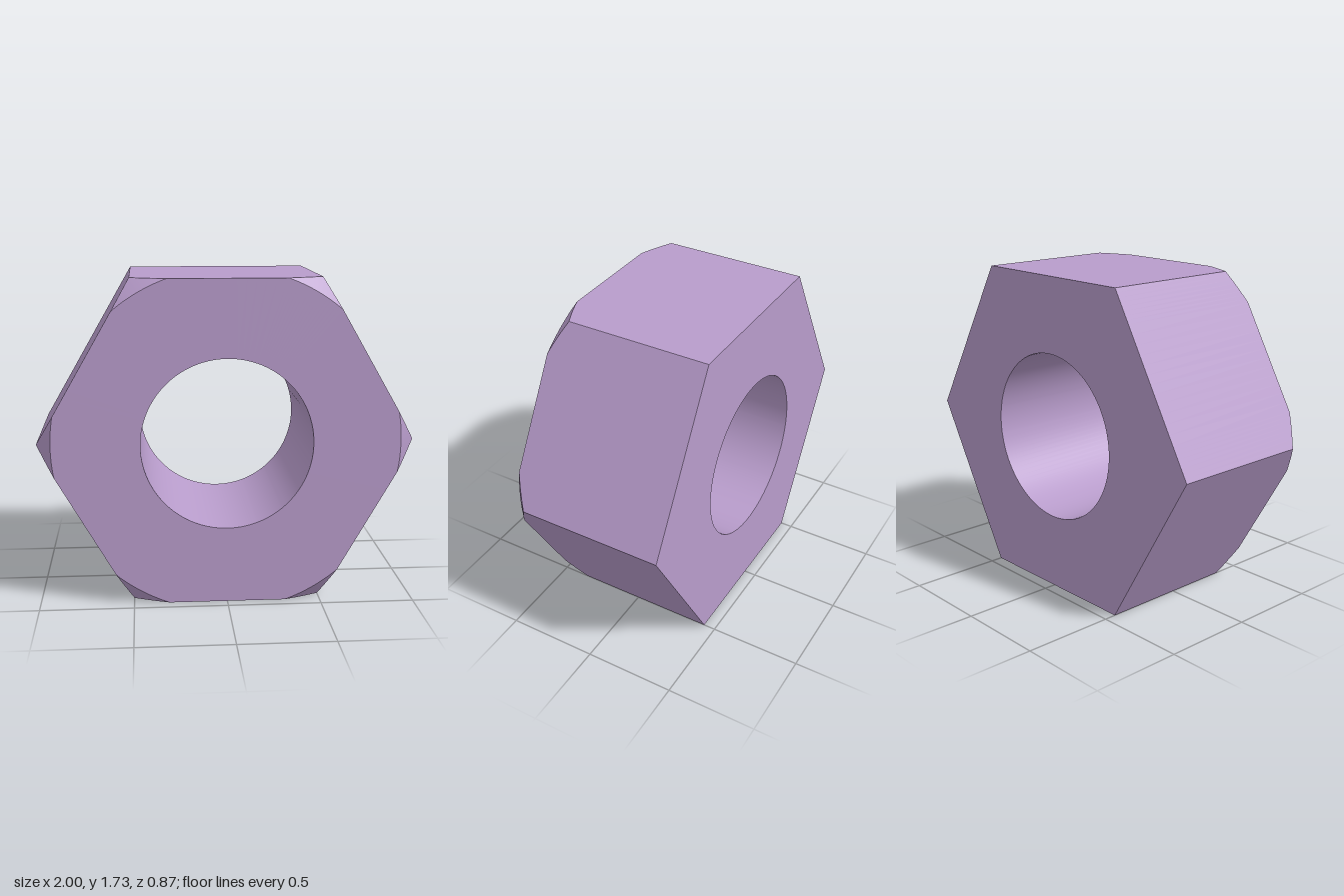
import * as THREE from 'three';

const APOTHEM = Math.sqrt(3) / 2; // corner radius is 1
const BORE = 0.455;
const RIM = 0.92;                 // circle where the chamfer meets the front face
const HALF = 0.435;               // half the thickness

// Angles around the nut, with a stop at every corner and every chamfer end
function ringAngles() {
  const half = Math.acos(APOTHEM / RIM);
  const stops = [-Math.PI / 6, -half, half, Math.PI / 6];
  const steps = [8, 12, 8];
  const angles = [];
  for (let side = 0; side < 6; side++) {
    const mid = Math.PI / 6 + side * Math.PI / 3;
    steps.forEach((n, s) => {
      for (let i = 0; i < n; i++) {
        const t = stops[s] + (stops[s + 1] - stops[s]) * i / n;
        angles.push({ angle: mid + t, hex: APOTHEM / Math.cos(t) });
      }
    });
  }
  return angles;
}

// Closed strip of quads between two rings; each ring gives [radius, z]
function strip(angles, ringA, ringB, flat) {
  const positions = [], index = [], n = angles.length;
  for (const ring of [ringA, ringB]) {
    for (const a of angles) {
      const [r, z] = ring(a);
      positions.push(r * Math.cos(a.angle), r * Math.sin(a.angle), z);
    }
  }
  const point = (i) => new THREE.Vector3().fromArray(positions, i * 3);
  const addTriangle = (a, b, c) => {
    if (new THREE.Triangle(point(a), point(b), point(c)).getArea() > 1e-8) index.push(a, b, c);
  };
  for (let i = 0; i < n; i++) {
    const j = (i + 1) % n;
    addTriangle(i, n + i, n + j);
    addTriangle(i, n + j, j);
  }
  let geometry = new THREE.BufferGeometry();
  geometry.setAttribute('position', new THREE.Float32BufferAttribute(positions, 3));
  geometry.setIndex(index);
  if (flat) geometry = geometry.toNonIndexed();
  geometry.computeVertexNormals();
  return geometry;
}

export function createModel() {
  const nut = new THREE.Group();
  nut.name = 'hexNut';
  const material = new THREE.MeshStandardMaterial({ color: 0xb89ccb });
  const angles = ringAngles();

  // Cross-section rings, from the front bore edge round to the back bore edge
  const boreFront = () => [BORE, HALF];
  const rim = (a) => [Math.min(a.hex, RIM), HALF];
  const shoulder = (a) => [a.hex, HALF - Math.max(0, a.hex - RIM)];
  const backEdge = (a) => [a.hex, -HALF];
  const boreBack = () => [BORE, -HALF];

  const parts = [
    ['frontFace', boreFront, rim, true],
    ['cornerChamfers', rim, shoulder, false],
    ['hexSides', shoulder, backEdge, true],
    ['backFace', backEdge, boreBack, true],
    ['bore', boreBack, boreFront, false],
  ];
  for (const [name, ringA, ringB, flat] of parts) {
    const mesh = new THREE.Mesh(strip(angles, ringA, ringB, flat), material);
    mesh.name = name;
    mesh.position.y = APOTHEM;
    nut.add(mesh);
  }
  return nut;
}
